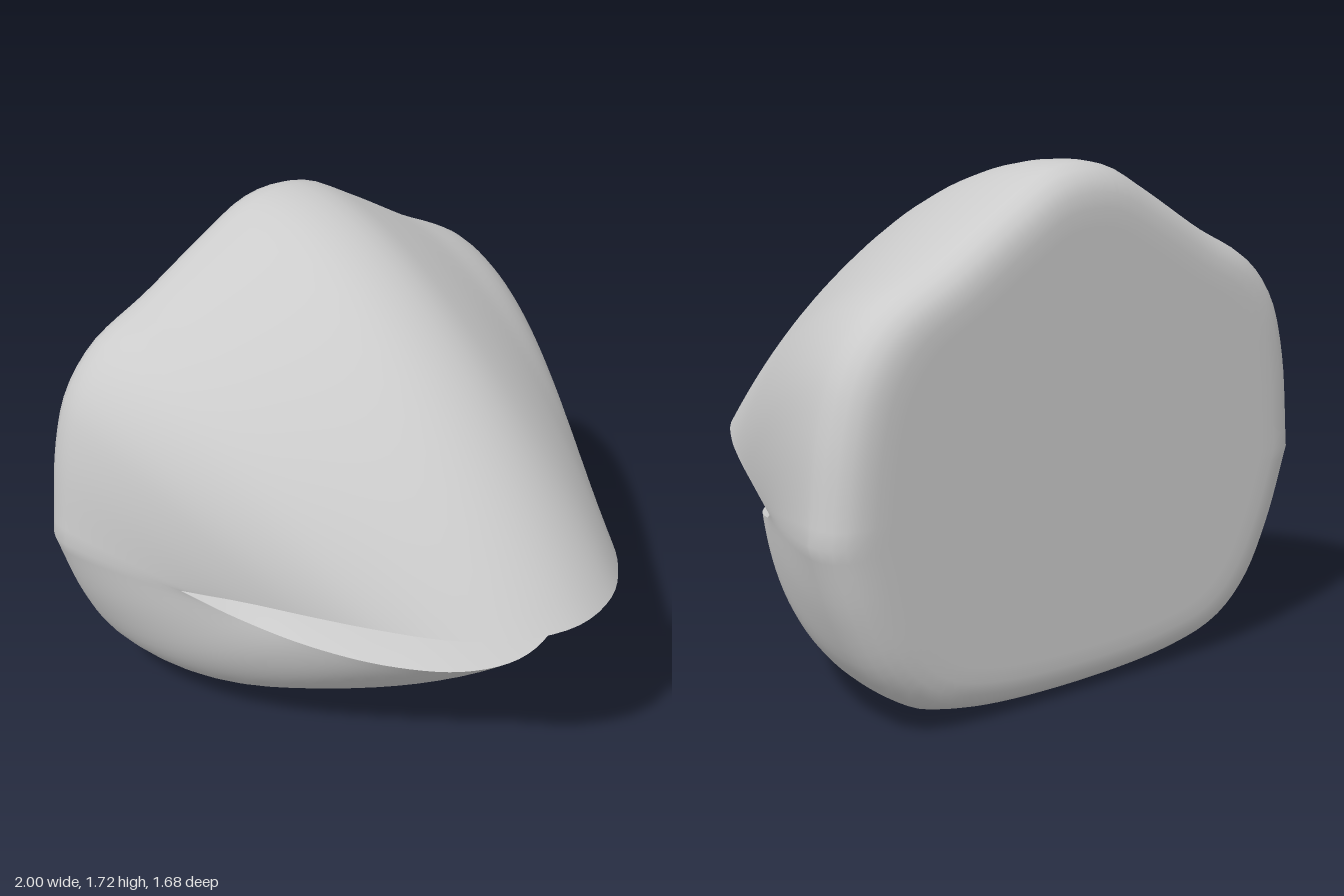
import * as THREE from 'three';

const COLS = 56, ROWS = 28, BACK = -0.7;

// Smooth curve running from -x to +x, mirrored from points listed centre -> side
function mirrored(half) {
  const side = half.map(p => new THREE.Vector3(...p));
  const other = side.slice(1).reverse().map(p => new THREE.Vector3(-p.x, p.y, p.z));
  const curve = new THREE.CatmullRomCurve3([...other, ...side]);
  curve.arcLengthDivisions = 400;
  return curve.getSpacedPoints(COLS);
}

// Skin a list of rows of points; closed joins the last column to the first
function skin(rows, closed, name) {
  const n = rows[0].length, index = [];
  for (let r = 0; r < rows.length - 1; r++) {
    for (let c = 0; c < (closed ? n : n - 1); c++) {
      const a = r * n + c, b = r * n + (c + 1) % n;
      index.push(a, b, a + n, b, b + n, a + n);
    }
  }
  const geometry = new THREE.BufferGeometry().setFromPoints(rows.flat());
  geometry.setIndex(index);
  geometry.computeVertexNormals();
  const mesh = new THREE.Mesh(geometry, new THREE.MeshStandardMaterial({
    color: 0xcccccc, roughness: 0.8, side: THREE.DoubleSide }));
  mesh.name = name;
  return mesh;
}

export function createModel() {
  // Lip edges, sharing their corners
  const upperLip = mirrored([[0, 0.68, 0.84], [0.2, 0.68, 0.785], [0.37, 0.675, 0.64],
    [0.5, 0.67, 0.45], [0.61, 0.66, 0.24], [0.72, 0.645, 0], [0.82, 0.615, -0.24]]);
  const lowerLip = mirrored([[0, 0.4, 0.56], [0.2, 0.41, 0.51], [0.4, 0.44, 0.36],
    [0.58, 0.49, 0.15], [0.72, 0.55, -0.08], [0.82, 0.615, -0.24]]);
  const throat = mirrored([[0, 0.585, 0.08], [0.3, 0.585, 0.06], [0.55, 0.59, -0.02],
    [0.72, 0.6, -0.14], [0.82, 0.615, -0.24]]);

  // Widest outline of the head near its flat back
  const crown = mirrored([[0, 1.72, BACK], [0.13, 1.7, BACK], [0.3, 1.61, BACK], [0.55, 1.46, BACK],
    [0.78, 1.335, BACK], [0.9, 1.19, BACK], [0.96, 1, BACK], [1, 0.66, BACK]]);
  const base = mirrored([[0, 0.005, BACK], [0.45, 0.03, BACK], [0.66, 0.085, BACK],
    [0.8, 0.2, BACK], [0.91, 0.4, BACK], [1, 0.66, BACK]]);

  // Bulging sweep from a lip to the outline; the bulge fades towards the mouth corners
  const sweep = (lip, outline, u, bulge) => lip.map((p, i) => {
    const s = 2 * i / COLS - 1;
    const h = 1 - Math.pow(1 - u, THREE.MathUtils.lerp(bulge, 1.25, s * s));
    const q = outline[i];
    return new THREE.Vector3(p.x + (q.x - p.x) * h, p.y + (q.y - p.y) * h, p.z + (q.z - p.z) * u);
  });
  const loop = (top, bottom) => [...top, ...bottom.slice(1, -1).reverse()];

  const head = [];
  for (let r = 0; r <= ROWS; r++) {
    const u = r / ROWS;
    head.push(loop(sweep(upperLip, crown, u, 1.8), sweep(lowerLip, base, u, 2.6)));
  }

  // Rounded rim and flat back
  const rim = head[ROWS];
  for (const [scale, z] of [[0.997, -0.745], [0.98, -0.785], [0.95, -0.815], [0.91, -0.833],
    [0.86, -0.84], [0.8, -0.841], [0.4, -0.841], [0, -0.841]]) {
    head.push(rim.map(p => new THREE.Vector3(p.x * scale, 0.75 + (p.y - 0.75) * scale, z)));
  }

  // Mouth lining: floor in to the throat, then the ceiling back out
  const lining = (lip, k, power) => lip.map((p, i) => {
    const q = p.clone().lerp(throat[i], k);
    q.y = THREE.MathUtils.lerp(p.y, throat[i].y, Math.pow(k, power));
    return q;
  });
  const mouth = [];
  for (let k = 0; k <= 10; k++) mouth.push(lining(lowerLip, k / 10, 1));
  for (let k = 9; k >= 0; k--) mouth.push(lining(upperLip, k / 10, 2));

  const group = new THREE.Group();
  group.name = 'openMouthedHead';
  group.add(skin(head, true, 'headShell'), skin(mouth, false, 'mouthLining'));
  return group;
}
